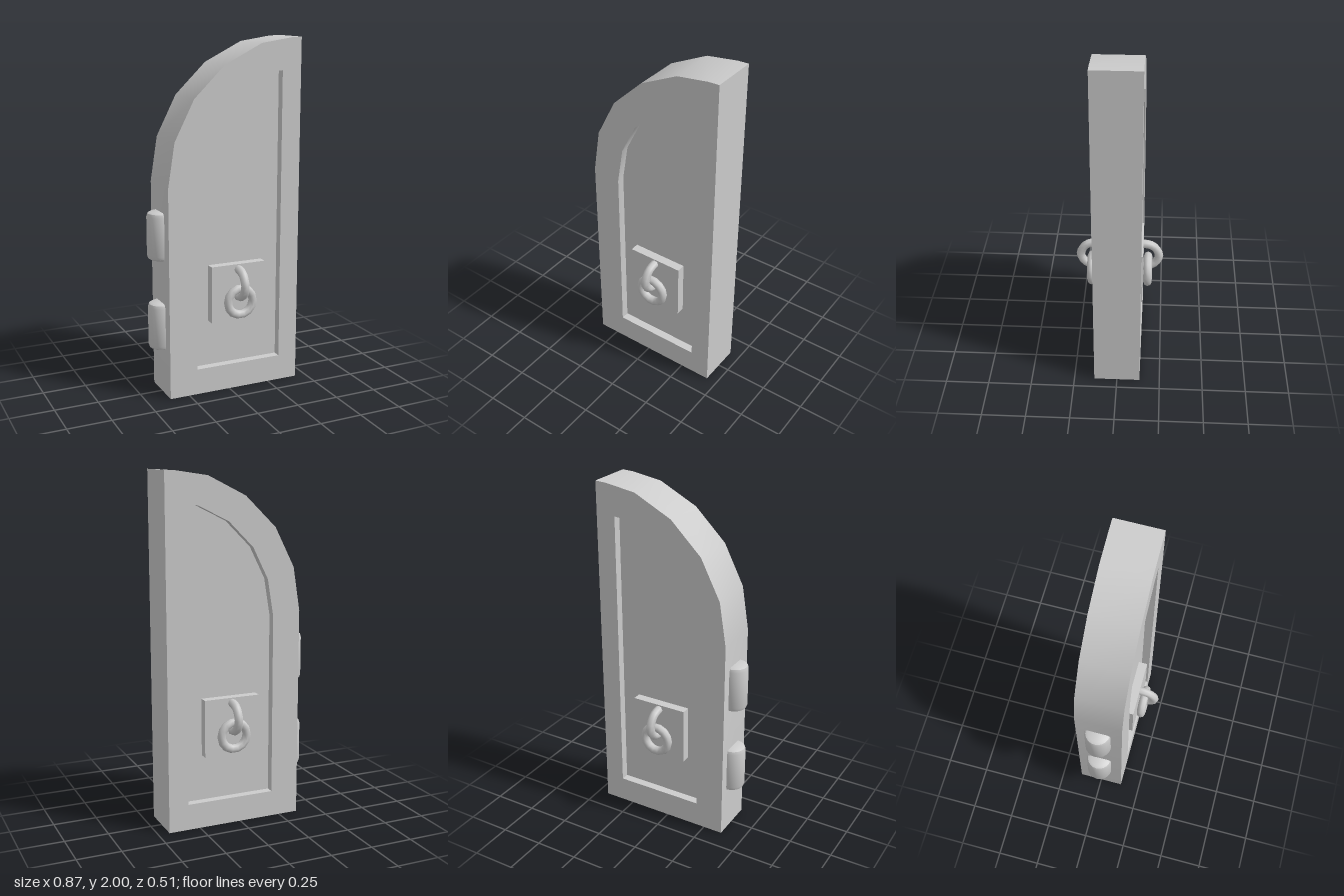
import * as THREE from 'three';
import { toCreasedNormals } from 'three/addons/utils/BufferGeometryUtils.js';

const HALF = 0.133, DEPTH = 0.047, HOOK_X = 0.053;

// Half-arch outlines, clockwise from the bottom hinge corner
const OUTER = [[-0.365, 0], [-0.365, 1.21], [-0.325, 1.46], [-0.21, 1.685], [-0.03, 1.86],
  [0.19, 1.97], [0.37, 1.997], [0.435, 2], [0.435, 0]];
const INNER = [[-0.2, 0.15], [-0.2, 1.19], [-0.165, 1.4], [-0.075, 1.58], [0.07, 1.725],
  [0.25, 1.815], [0.32, 1.82], [0.32, 0.15]];

const material = new THREE.MeshStandardMaterial({ color: 0xcccccc, side: THREE.DoubleSide });

function add(parent, name, geometry, x = 0, y = 0, z = 0) {
  const mesh = new THREE.Mesh(geometry, material);
  mesh.name = name;
  mesh.position.set(x, y, z);
  parent.add(mesh);
  return mesh;
}

// Wall running along an outline, from zFront to zBack
function wall(points, zFront, zBack) {
  const positions = [], index = [];
  points.forEach(([x, y], i) => {
    positions.push(x, y, zFront, x, y, zBack);
    if (i) index.push(2 * i - 2, 2 * i, 2 * i - 1, 2 * i, 2 * i + 1, 2 * i - 1);
  });
  const geometry = new THREE.BufferGeometry();
  geometry.setAttribute('position', new THREE.Float32BufferAttribute(positions, 3));
  geometry.setIndex(index);
  return toCreasedNormals(geometry, 0.5);
}

const toVectors = (points) => points.map(([x, y]) => new THREE.Vector2(x, y));

// One face of the door: frame, sunken panel, and the walls of the recess
function doorFace(name, back) {
  const orient = (points) => (back ? points.map(([x, y]) => [-x, y]).reverse() : points);
  const inner = orient(INNER);
  const face = new THREE.Group();
  face.name = name;
  const frame = new THREE.Shape(toVectors(orient(OUTER)));
  frame.holes.push(new THREE.Path(toVectors(inner)));
  add(face, 'frame', new THREE.ShapeGeometry(frame), 0, 0, HALF);
  add(face, 'panel', new THREE.ShapeGeometry(new THREE.Shape(toVectors(inner))), 0, 0, HALF - DEPTH);
  add(face, 'recessWalls', wall([...inner, inner[0]].reverse(), HALF, HALF - DEPTH));
  if (back) face.rotation.y = Math.PI;
  return face;
}

// Plate with a curved staple and a hanging ring
function knocker(name, back) {
  const group = new THREE.Group();
  group.name = name;
  add(group, 'plate', new THREE.BoxGeometry(0.33, 0.33, 0.051), 0, 0.58, 0.1115);
  const arc = [[0.715, 0.12], [0.713, 0.16], [0.695, 0.2], [0.635, 0.229],
    [0.585, 0.21], [0.56, 0.17], [0.555, 0.12]];
  const path = new THREE.CatmullRomCurve3(arc.map(([y, z]) => new THREE.Vector3(0, y, z)));
  add(group, 'staple', new THREE.TubeGeometry(path, 14, 0.025, 8));
  add(group, 'ring', new THREE.TorusGeometry(0.077, 0.025, 8, 14), 0, 0.532, 0.165);
  group.position.x = HOOK_X;
  if (back) group.rotation.y = Math.PI;
  return group;
}

export function createModel() {
  const door = new THREE.Group();
  door.name = 'archedDoor';

  // Outer edge of the slab, open underneath
  add(door, 'slabEdge', wall(OUTER, HALF, -HALF));

  for (const back of [false, true]) {
    const side = back ? 'back' : 'front';
    door.add(doorFace(side + 'Face', back), knocker(side + 'Knocker', back));
  }

  // Hinge barrels with rounded rims
  const h = 0.1365;
  const profile = toVectors([[0, -h], [0.055, -h], [0.069, -h + 0.008], [0.075, -h + 0.026],
    [0.075, h - 0.026], [0.069, h - 0.008], [0.055, h], [0, h]]);
  const barrel = toCreasedNormals(new THREE.LatheGeometry(profile, 20), 0.7);
  add(door, 'lowerHinge', barrel, -0.362, 0.402, -0.006);
  add(door, 'upperHinge', barrel, -0.362, 0.925, -0.006);

  return door;
}
